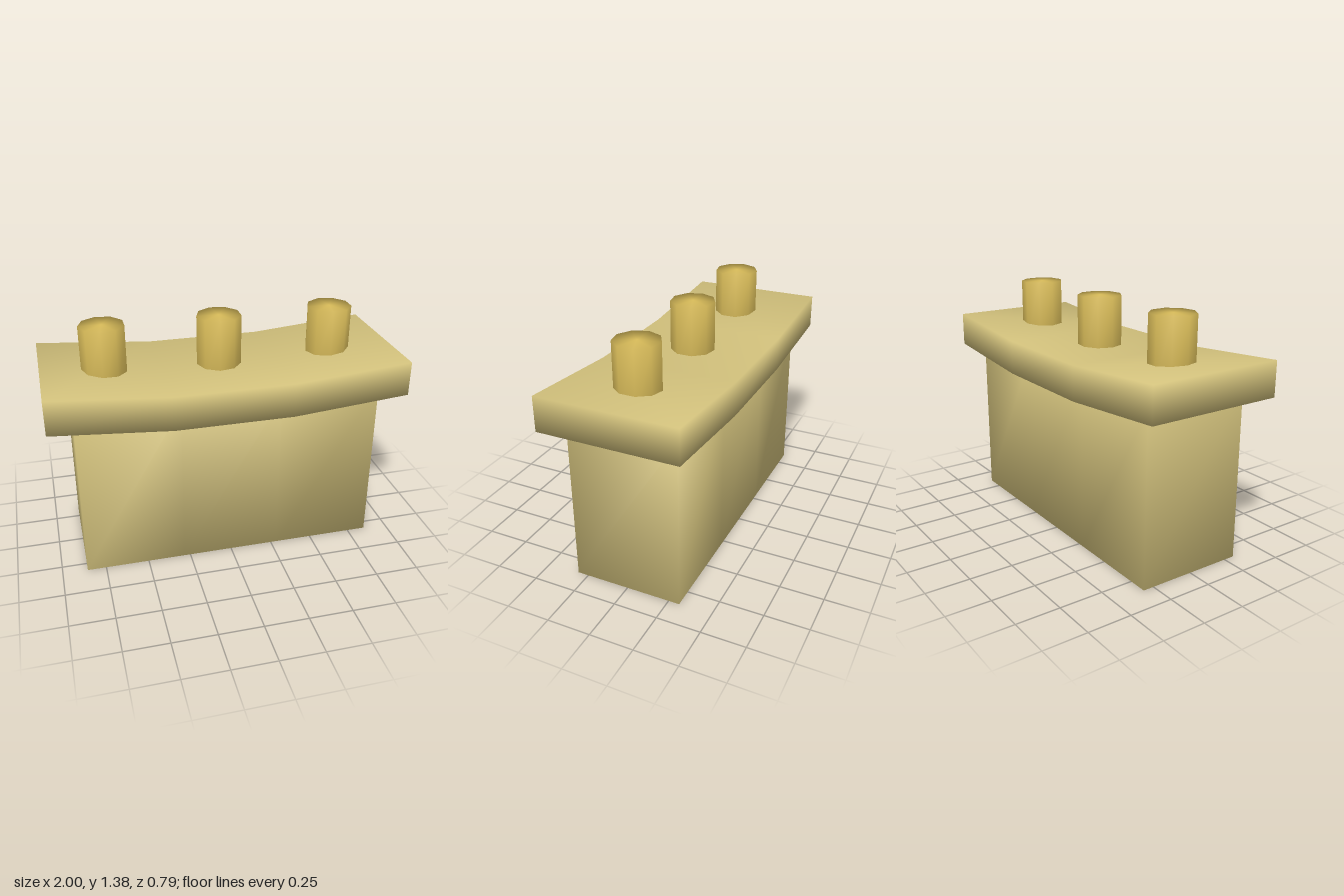
import * as THREE from 'three';
import { mergeVertices } from 'three/addons/utils/BufferGeometryUtils.js';

// Share corner vertices so shading runs softly around every edge
function soften(geometry) {
  geometry.deleteAttribute('normal');
  geometry.deleteAttribute('uv');
  geometry.clearGroups();
  const merged = mergeVertices(geometry, 1e-4);
  merged.computeVertexNormals();
  return merged;
}

function addMesh(parent, name, geometry, material) {
  const mesh = new THREE.Mesh(soften(geometry), material);
  mesh.name = name;
  parent.add(mesh);
  return mesh;
}

export function createModel() {
  const model = new THREE.Group();
  model.name = 'peggedBlock';

  const sand = new THREE.MeshStandardMaterial({ color: 0xd2c17c });
  sand.name = 'sand';
  const gold = new THREE.MeshStandardMaterial({ color: 0xdabd5a });
  gold.name = 'gold';

  // Block body, its top buried in the slab
  const body = new THREE.BoxGeometry(1.715, 0.98, 0.625, 3, 1, 1);
  body.translate(0, 0.49, 0);
  addMesh(model, 'body', body, sand);

  // Overhanging slab in three lengths, with both ends tilted up
  const slab = new THREE.BoxGeometry(2, 0.197, 0.79, 3, 1, 1);
  const position = slab.attributes.position;
  for (let i = 0; i < position.count; i++) {
    const lift = Math.abs(position.getX(i)) > 0.5 ? 0.055 : 0;
    position.setY(i, position.getY(i) + 0.9925 + lift);
  }
  addMesh(model, 'topSlab', slab, sand);

  // Row of nine-sided pegs, each with one corner towards -x
  const pegs = new THREE.Group();
  pegs.name = 'pegs';
  model.add(pegs);
  for (const x of [-0.648, 0, 0.648]) {
    const peg = new THREE.CylinderGeometry(0.127, 0.127, 0.375, 9, 1, false, -Math.PI / 2);
    peg.translate(x, 1.1875, 0.003);
    addMesh(pegs, 'peg', peg, gold);
  }

  return model;
}
